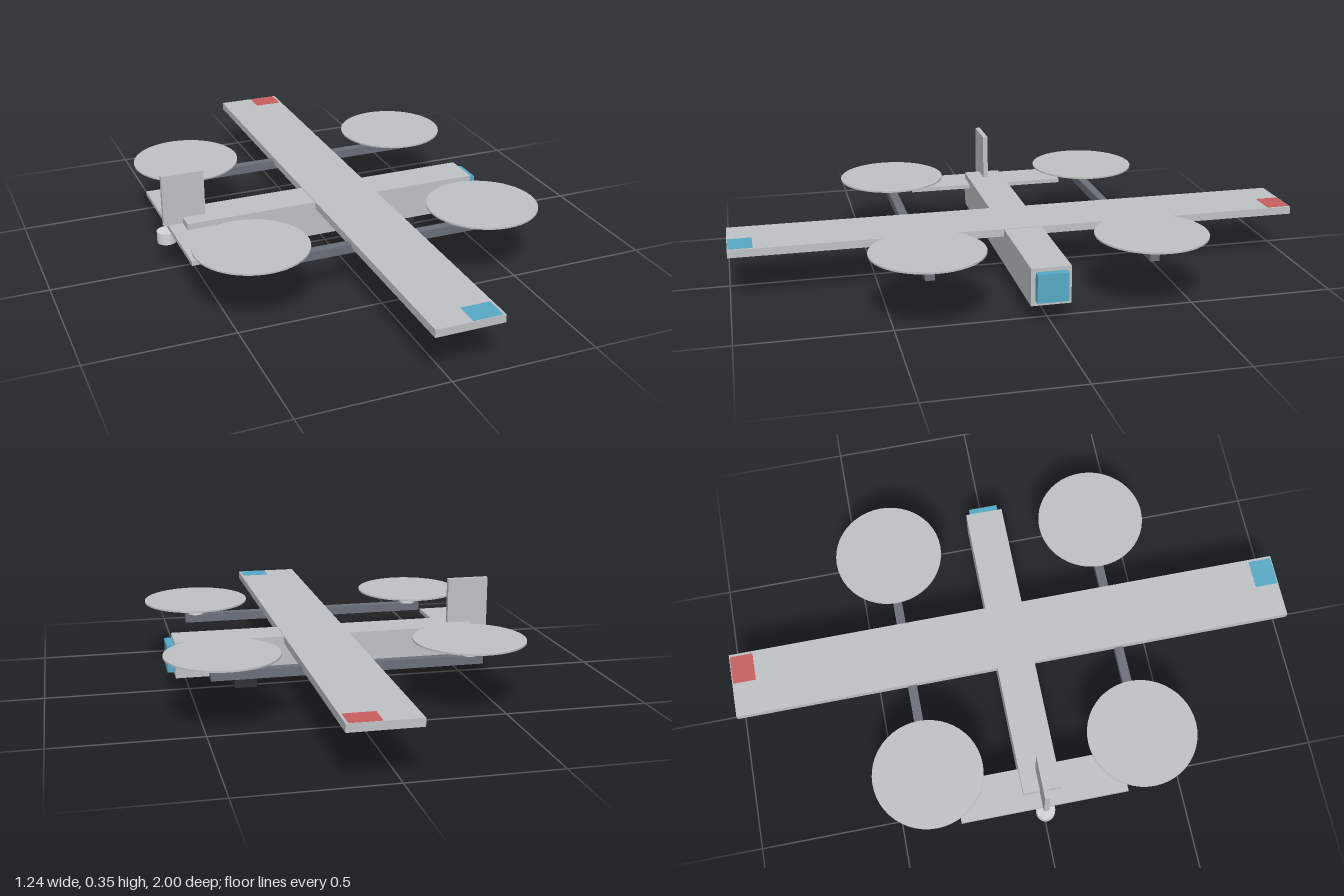
import * as THREE from 'three';

const mat = (name, color) => Object.assign(new THREE.MeshStandardMaterial({ color }), { name });

export function createModel() {
  const model = new THREE.Group();
  model.name = 'quadPlane';
  const shell = mat('shell grey', 0xbfc3c6);
  const boomGrey = mat('boom grey', 0x6b707a);
  const motorGrey = mat('motor silver', 0xd4d6da);
  const dark = mat('camera black', 0x303036);
  const blue = mat('light blue', 0x58aac6);
  const red = mat('light red', 0xc85f5f);

  const add = (name, geometry, material, x, y, z) => {
    const mesh = new THREE.Mesh(geometry, material);
    mesh.name = name;
    mesh.position.set(x, y, z);
    model.add(mesh);
    return mesh;
  };
  // Box given by its limits along each axis
  const box = (name, material, [x0, x1], [y0, y1], [z0, z1]) =>
    add(name, new THREE.BoxGeometry(x1 - x0, y1 - y0, z1 - z0), material,
      (x0 + x1) / 2, (y0 + y1) / 2, (z0 + z1) / 2);
  // Upright cylinder
  const post = (name, material, r, x, [y0, y1], z, sides = 32) =>
    add(name, new THREE.CylinderGeometry(r, r, y1 - y0, sides), material, x, (y0 + y1) / 2, z);

  // Fuselage, nose sensor and belly camera
  box('fuselage', shell, [-0.53, 0.552], [0.062, 0.19], [-0.067, 0.067]);
  box('noseSensor', blue, [0.552, 0.578], [0.08, 0.177], [-0.052, 0.052]);
  box('bellyCamera', dark, [0.262, 0.343], [0, 0.062], [-0.031, 0.031]);

  // Wing and tail
  box('wing', shell, [-0.064, 0.17], [0.165, 0.192], [-1, 1]);
  box('tailPlane', shell, [-0.582, -0.434], [0.153, 0.168], [-0.293, 0.293]);
  box('tailFin', shell, [-0.598, -0.449], [0.168, 0.352], [-0.009, 0.009]);
  post('tailMotor', motorGrey, 0.033, -0.588, [0.106, 0.147], 0);

  for (const side of [-1, 1]) {
    // Wing tip light plates, above and below the wing
    const light = side > 0 ? blue : red;
    for (const y of [0.164, 0.191]) {
      box('wingTipLight', light, [0.06, 0.161], [y, y + 0.002],
        side > 0 ? [0.916, 0.997] : [-0.997, -0.916]);
    }
    // Lift boom with a motor and a rotor disc near each end
    const z = side * 0.376;
    box('liftBoom', boomGrey, [-0.45, 0.469], [0.146, 0.177], [z - 0.016, z + 0.016]);
    for (const x of [-0.406, 0.428]) {
      post('liftMotor', motorGrey, 0.029, x, [0.176, 0.228], z);
      post('rotorDisc', shell, 0.191, x, [0.227, 0.233], z, 48);
    }
  }
  return model;
}
